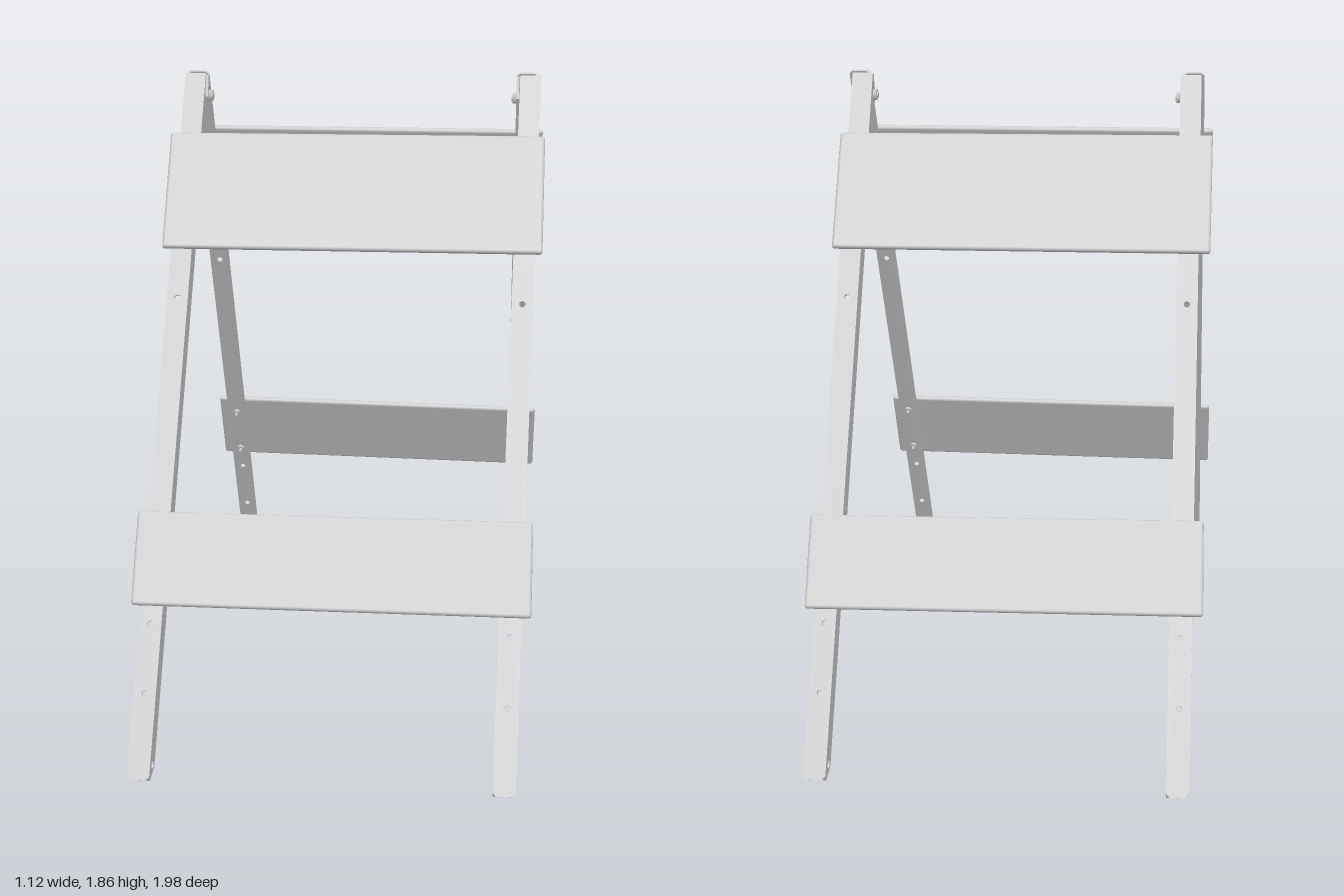
import * as THREE from 'three';
import { RoundedBoxGeometry } from 'three/addons/geometries/RoundedBoxGeometry.js';

const APEX = 1.865, ANGLE = 0.492, LENGTH = 2.1, WIDTH = 0.062, DEPTH = 0.058, T = 0.008;
const mat = new THREE.MeshStandardMaterial({ color: 0xcccccc });

// Distance down the leg for a given height
const along = (y) => (APEX - y) / Math.cos(ANGLE);

function add(parent, name, geometry, x = 0, y = 0, z = 0) {
  const mesh = new THREE.Mesh(geometry, mat);
  mesh.name = name;
  mesh.position.set(x, y, z);
  parent.add(mesh);
  return mesh;
}

// Flat sheet cut from an outline, with round holes
function sheet(points, holes, r) {
  const shape = new THREE.Shape(points.map(([x, y]) => new THREE.Vector2(x, y)));
  for (const [x, y] of holes) {
    const hole = new THREE.Path();
    hole.absarc(x, y, r, 0, Math.PI * 2, true);
    shape.holes.push(hole);
  }
  return new THREE.ExtrudeGeometry(shape, { depth: T, bevelEnabled: false, curveSegments: 6 });
}

// Angle-iron leg: outer plate plus a flange along its inner edge
function makeLeg(side, xTop, xBottom, boards) {
  const leg = new THREE.Group();
  leg.name = 'leg';
  leg.position.x = xTop;
  leg.rotation.z = (xBottom - xTop) / LENGTH;

  const w = WIDTH / 2, c = 0.01;
  const plate = sheet(
    [[-w, -c], [-w, -LENGTH + c], [-w + c, -LENGTH], [w - c, -LENGTH], [w, -LENGTH + c], [w, -c], [w - c, 0], [-w + c, 0]],
    [1.23, 0.39, 0.22].map((y) => [0, -along(y)]), 0.009);
  add(leg, 'legPlate', plate, 0, 0, -T);

  // Flange ends are trimmed at the hinge and at the foot
  const flange = sheet(
    [[0, -c], [-0.015, -c], [-DEPTH, -0.055], [-DEPTH, -LENGTH + 0.04], [-0.015, -LENGTH], [0, -LENGTH + c]],
    [[-0.033, -LENGTH + 0.045]], 0.013);
  flange.rotateY(-Math.PI / 2);
  add(leg, 'legFlange', flange, -side * (w - T / 2) + T / 2, 0, 0);

  // Nuts that hold the boards, on the inside of the plate
  for (const b of boards) {
    for (const dir of [-1, 1]) {
      const y = -along(b.y) + dir * (b.height / 2 - 0.045);
      const stud = new THREE.CylinderGeometry(0.005, 0.005, 0.03, 8).rotateX(Math.PI / 2);
      const nut = new THREE.CylinderGeometry(0.012, 0.012, 0.01, 6).rotateX(Math.PI / 2);
      add(leg, 'boardStud', stud, 0, y, -0.018);
      add(leg, 'boardNut', nut, 0, y, -0.013);
    }
  }
  return leg;
}

// One leaning frame: two legs and two boards
function makeFrame(name, legs, boards) {
  const frame = new THREE.Group();
  frame.name = name;
  frame.position.y = APEX;
  frame.rotation.x = -ANGLE;
  for (const [side, xTop, xBottom] of legs) frame.add(makeLeg(side, xTop, xBottom, boards));
  for (const b of boards) {
    const board = add(frame, b.name, new RoundedBoxGeometry(b.width, b.height, 0.02, 3, 0.009), b.x, -along(b.y), 0.01);
    board.rotation.z = b.tilt;
  }
  return frame;
}

export function createModel() {
  const model = new THREE.Group();
  model.name = 'foldingBarricade';

  model.add(makeFrame('frontFrame',
    [[-1, -0.497, -0.508], [1, 0.513, 0.49]],
    [{ name: 'upperBoard', width: 1.115, height: 0.364, x: 0.002, y: 1.521, tilt: 0 },
     { name: 'lowerBoard', width: 1.115, height: 0.266, x: -0.006, y: 0.552, tilt: 0.003 }]));

  // Back frame is turned about, its legs set slightly inside the front ones
  const back = new THREE.Group();
  back.name = 'backSide';
  back.rotation.y = Math.PI;
  back.add(makeFrame('backFrame',
    [[1, 0.488, 0.51], [-1, -0.503, -0.482]],
    [{ name: 'upperBoard', width: 1.11, height: 0.364, x: 0.003, y: 1.521, tilt: 0.004 },
     { name: 'lowerBoard', width: 1.11, height: 0.266, x: 0.008, y: 0.55, tilt: 0.018 }]));
  model.add(back);

  // Hinge bolts through the overlapping flanges at the top
  for (const [side, x] of [[-1, -0.468], [1, 0.482]]) {
    const hinge = new THREE.Group();
    hinge.name = 'hingeBolt';
    hinge.position.set(x, 1.79, 0);
    const parts = [['boltShank', 0.009, 0.05, 10, 0], ['boltHead', 0.018, 0.012, 6, 0.018], ['boltNut', 0.018, 0.012, 6, -0.016]];
    for (const [name, r, len, sides, dx] of parts) {
      add(hinge, name, new THREE.CylinderGeometry(r, r, len, sides).rotateZ(Math.PI / 2), side * dx);
    }
    model.add(hinge);
  }
  return model;
}
